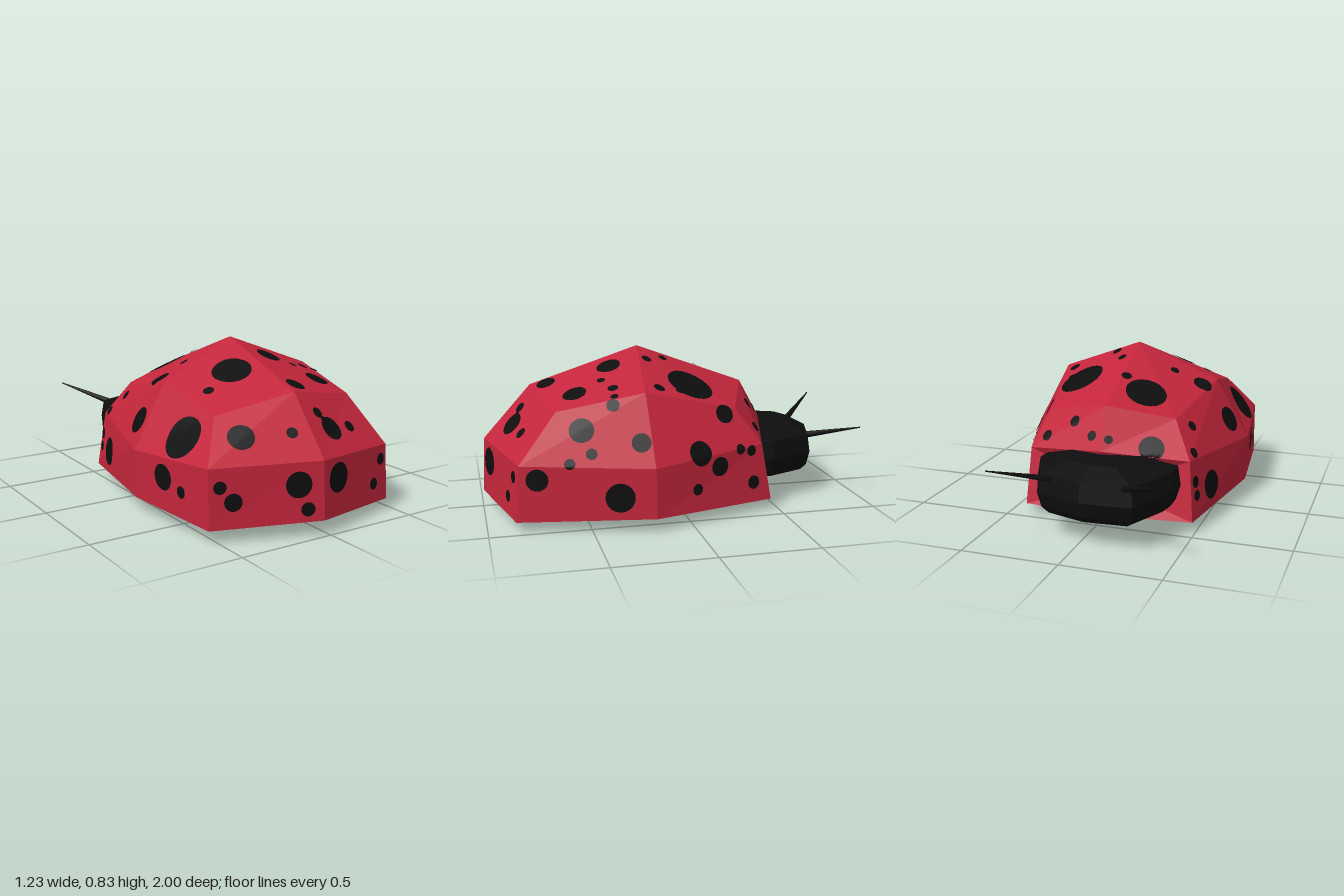
import * as THREE from 'three';

const red = new THREE.MeshStandardMaterial({ color: 0xc4263c });
red.name = 'shellRed';
const black = new THREE.MeshStandardMaterial({ color: 0x0e0e0e });
black.name = 'black';

// Faceted mesh from a list of triangles (arrays of three points)
function facets(name, tris, material) {
  const g = new THREE.BufferGeometry();
  g.setAttribute('position', new THREE.Float32BufferAttribute(tris.flat(2), 3));
  g.computeVertexNormals();
  const m = new THREE.Mesh(g, material);
  m.name = name;
  return m;
}

// Triangles between two closed loops; skip lists segments left open
function band(a, b, skip = []) {
  const out = [];
  a.forEach((p, i) => {
    if (skip.includes(i)) return;
    const j = (i + 1) % a.length;
    out.push([p, a[j], b[j]], [p, b[j], b[i]]);
  });
  return out;
}
const fan = (loop, tip) => loop.map((p, i) => [p, loop[(i + 1) % loop.length], tip]);

// Shell loops: front, front left, left, back left, back, back right, right, front right
const rim = [[-0.035, 0.077, 0.995], [0.47, 0.055, 0.865], [0.613, 0.066, 0.195], [0.405, 0.055, -0.46],
  [-0.035, 0.055, -0.495], [-0.49, 0.06, -0.455], [-0.612, 0.077, 0.23], [-0.548, 0.066, 0.80]];
const waist = [[-0.035, 0.362, 0.98], [0.467, 0.335, 0.845], [0.607, 0.318, 0.2], [0.39, 0.35, -0.41],
  [-0.035, 0.405, -0.53], [-0.46, 0.36, -0.41], [-0.616, 0.322, 0.23], [-0.547, 0.356, 0.79]];
const shoulder = [[-0.027, 0.638, 0.735], [0.37, 0.57, 0.65], [0.43, 0.657, 0.213], [0.33, 0.535, -0.28],
  [-0.025, 0.61, -0.415], [-0.355, 0.54, -0.30], [-0.44, 0.637, 0.215], [-0.41, 0.547, 0.63]];
const apex = [-0.013, 0.826, 0.165];

function makeShell() {
  // Recess in the back wall where the head sits
  const recess = fan([rim[3], rim[4], rim[5], waist[5], waist[4], waist[3]], [-0.035, 0.2, -0.43]);
  return facets('shell', [...band(rim, waist, [3, 4]), ...recess,
    ...band(waist, shoulder), ...fan(shoulder, apex)], red);
}

function makeHead() {
  const plan = [[0.31, -0.3], [0.317, -0.5], [0.21, -0.75], [-0.035, -0.825],
    [-0.295, -0.805], [-0.42, -0.53], [-0.42, -0.3]];
  const layer = (y, s) => plan.map(([x, z]) => [-0.05 + (x + 0.05) * s, y, -0.55 + (z + 0.55) * s]);
  const loops = [layer(0.13, 0.83), layer(0.165, 0.94), layer(0.24, 1), layer(0.335, 0.95), layer(0.385, 0.5)];
  const tris = fan([...loops[0]].reverse(), [-0.05, 0.125, -0.55]);
  for (let i = 0; i < loops.length - 1; i++) tris.push(...band(loops[i], loops[i + 1]));
  tris.push(...fan(loops[4], [-0.05, 0.39, -0.57]));
  return facets('head', tris, black);
}

function makeAntenna(name, from, to) {
  const a = new THREE.Vector3(...from), b = new THREE.Vector3(...to);
  const dir = b.clone().sub(a);
  const m = new THREE.Mesh(new THREE.CylinderGeometry(0.003, 0.019, dir.length(), 6), black);
  m.name = name;
  m.position.copy(a).add(b).multiplyScalar(0.5);
  m.quaternion.setFromUnitVectors(new THREE.Vector3(0, 1, 0), dir.normalize());
  return m;
}

// Spots as [u, v, radius] seen along one axis of the shell
const spots = {
  front: [[-0.15, 0.257, 0.063], [0.067, 0.26, 0.073], [-0.44, 0.195, 0.043], [-0.497, 0.267, 0.031],
    [-0.11, 0.138, 0.034], [0.415, 0.27, 0.03], [0.353, 0.158, 0.03], [-0.35, 0.468, 0.065],
    [-0.122, 0.474, 0.028], [0.066, 0.534, 0.029], [0.088, 0.5, 0.02], [0.115, 0.46, 0.063], [0.254, 0.444, 0.03]],
  top: [[-0.164, 0.407, 0.1], [-0.328, 0.455, 0.028], [0.106, 0.339, 0.063], [0.264, 0.54, 0.061],
    [0.037, 0.656, 0.05], [0.317, 0.354, 0.027], [0.22, 0.397, 0.021], [0.39, 0.36, 0.02],
    [-0.17, -0.21, 0.108], [0.238, -0.063, 0.125], [-0.042, -0.148, 0.028], [-0.238, 0.08, 0.024],
    [-0.39, 0.095, 0.053], [0.042, 0.037, 0.024], [0.106, 0.138, 0.027], [-0.063, -0.487, 0.022],
    [-0.27, -0.435, 0.065], [0.026, -0.476, 0.026], [0.328, 0.016, 0.02], [0.354, 0.127, 0.03],
    [0.143, -0.407, 0.03], [0.3, -0.4, 0.03], [-0.53, 0.13, 0.07], [-0.508, 0.52, 0.11],
    [-0.46, -0.344, 0.027], [-0.418, -0.228, 0.027]],
  left: [[0.535, 0.49, 0.062], [0.257, 0.433, 0.048], [0.604, 0.342, 0.027], [0.497, 0.385, 0.028],
    [0.76, 0.267, 0.055], [0.37, 0.176, 0.073], [-0.048, 0.353, 0.063], [-0.155, 0.273, 0.05],
    [-0.027, 0.176, 0.029], [-0.278, 0.342, 0.026], [-0.353, 0.16, 0.035], [-0.21, 0.513, 0.05],
    [-0.342, 0.326, 0.028], [0.374, 0.6, 0.033]],
  right: [[0.46, 0.24, 0.065], [0.6, 0.2, 0.03], [-0.23, 0.19, 0.075], [-0.385, 0.25, 0.03], [-0.385, 0.18, 0.028]],
};
const axes = {
  front: (u, v) => [[u, v, 3], [0, 0, -1]],
  top: (u, v) => [[u, 3, v], [0, -1, 0]],
  left: (u, v) => [[3, v, u], [-1, 0, 0]],
  right: (u, v) => [[-3, v, u], [1, 0, 0]],
};

// Thin disc wrapped onto the shell around the point that the ray meets
function makeSpot(shell, origin, direction, radius) {
  const ray = new THREE.Raycaster(new THREE.Vector3(...origin), new THREE.Vector3(...direction));
  const hit = ray.intersectObject(shell)[0];
  if (!hit) return null;
  const n = hit.face.normal.clone(), inward = n.clone().negate();
  const g = new THREE.RingGeometry(0.0005, radius, 20, 5);
  g.applyQuaternion(new THREE.Quaternion().setFromUnitVectors(new THREE.Vector3(0, 0, 1), n));
  g.translate(hit.point.x, hit.point.y, hit.point.z);
  const pos = g.attributes.position, p = new THREE.Vector3();
  for (let i = 0; i < pos.count; i++) {
    p.fromBufferAttribute(pos, i);
    ray.set(p.clone().addScaledVector(n, 0.3), inward);
    const h = ray.intersectObject(shell)[0];
    if (h && Math.abs(h.distance - 0.3) < 0.09) p.copy(h.point);
    p.addScaledVector(n, 0.005);
    pos.setXYZ(i, p.x, p.y, p.z);
  }
  g.computeVertexNormals();
  const m = new THREE.Mesh(g, black);
  m.name = 'spot';
  return m;
}

export function createModel() {
  const model = new THREE.Group();
  model.name = 'beetle';
  const shell = makeShell();
  const belly = facets('belly', fan([...rim].reverse(), [-0.075, 0, 0.165]), black);
  model.add(shell, belly, makeHead());
  model.add(makeAntenna('leftAntenna', [0.13, 0.315, -0.74], [0.37, 0.402, -0.965]));
  model.add(makeAntenna('rightAntenna', [-0.23, 0.315, -0.77], [-0.46, 0.425, -1.0]));

  const spotGroup = new THREE.Group();
  spotGroup.name = 'spots';
  for (const side in spots) {
    for (const [u, v, r] of spots[side]) {
      const spot = makeSpot(shell, ...axes[side](u, v), r);
      if (spot) spotGroup.add(spot);
    }
  }
  model.add(spotGroup);
  return model;
}
